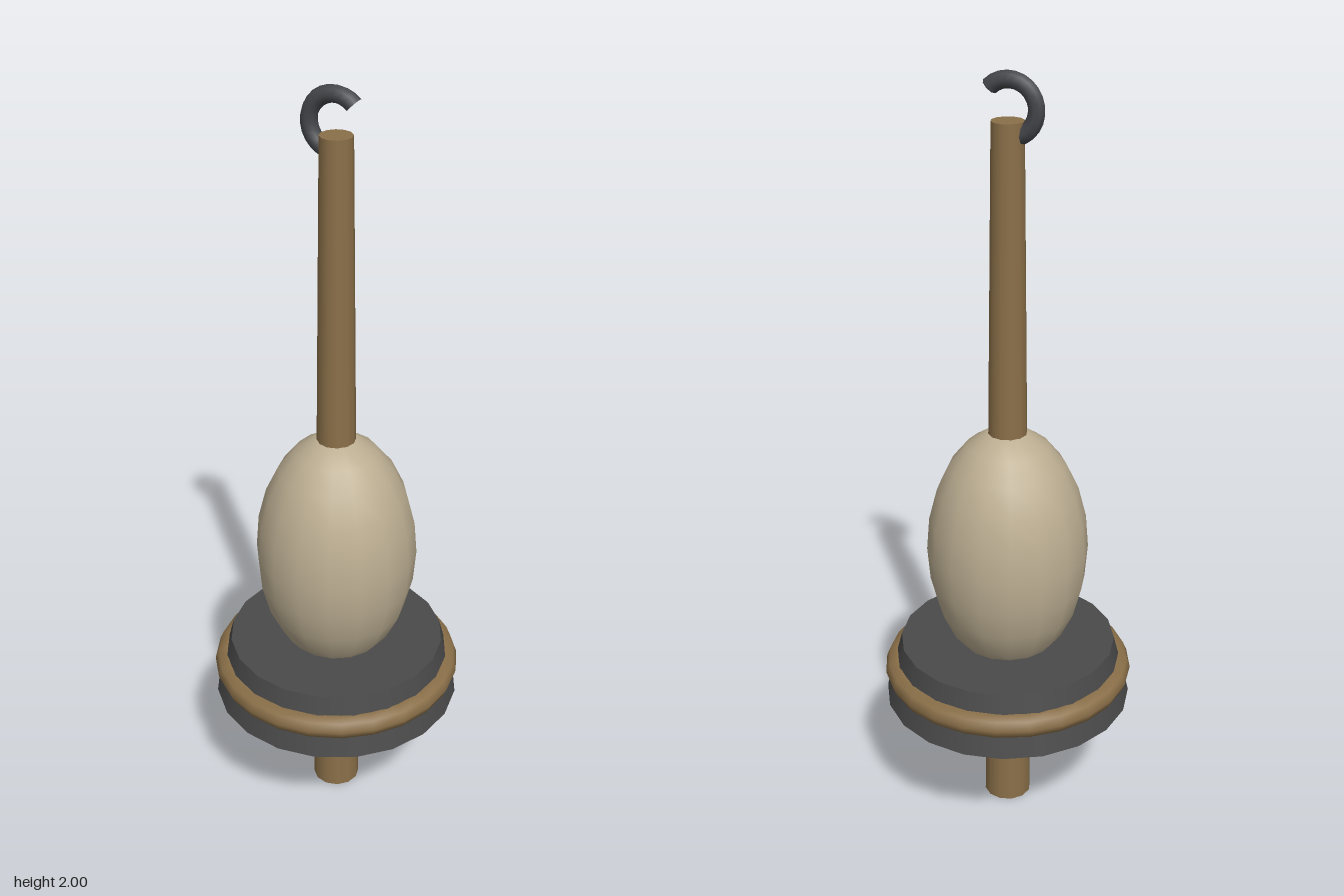
import * as THREE from 'three';

const mat = (name, color) => {
  const m = new THREE.MeshStandardMaterial({ color });
  m.name = name;
  return m;
};

export function createModel() {
  const wood = mat('wood', 0x8b7049);
  const darkDisc = mat('darkDisc', 0x4a4a4a);
  const iron = mat('iron', 0x45474b);
  const wool = mat('wool', 0xbcae92);

  const model = new THREE.Group();
  model.name = 'dropSpindle';
  const add = (name, geometry, material, x, y) => {
    const mesh = new THREE.Mesh(geometry, material);
    mesh.name = name;
    mesh.position.set(x, y, 0);
    model.add(mesh);
    return mesh;
  };

  // Tapered shaft running through everything
  add('shaft', new THREE.CylinderGeometry(0.04, 0.063, 1.885, 12), wood, 0, 0.9425);

  // Weighted whorl with a wooden rim ring
  add('whorl', new THREE.CylinderGeometry(0.285, 0.328, 0.165, 20), darkDisc, 0, 0.4175);
  const ring = add('whorlRing', new THREE.TorusGeometry(0.298, 0.032, 8, 24), wood, 0, 0.418);
  ring.rotation.x = Math.PI / 2;

  // Egg-shaped bundle of spun fibre
  const cop = add('fibreBundle', new THREE.SphereGeometry(0.21, 16, 12), wool, 0, 0.77);
  cop.scale.y = 0.34 / 0.21;

  // Open hook: starts upper right, curls over the left and down into the shaft
  const hook = add('hook', new THREE.TorusGeometry(0.067, 0.021, 8, 16, Math.PI * 1.25), iron, -0.003, 1.912);
  hook.rotation.z = Math.PI / 4;

  return model;
}
